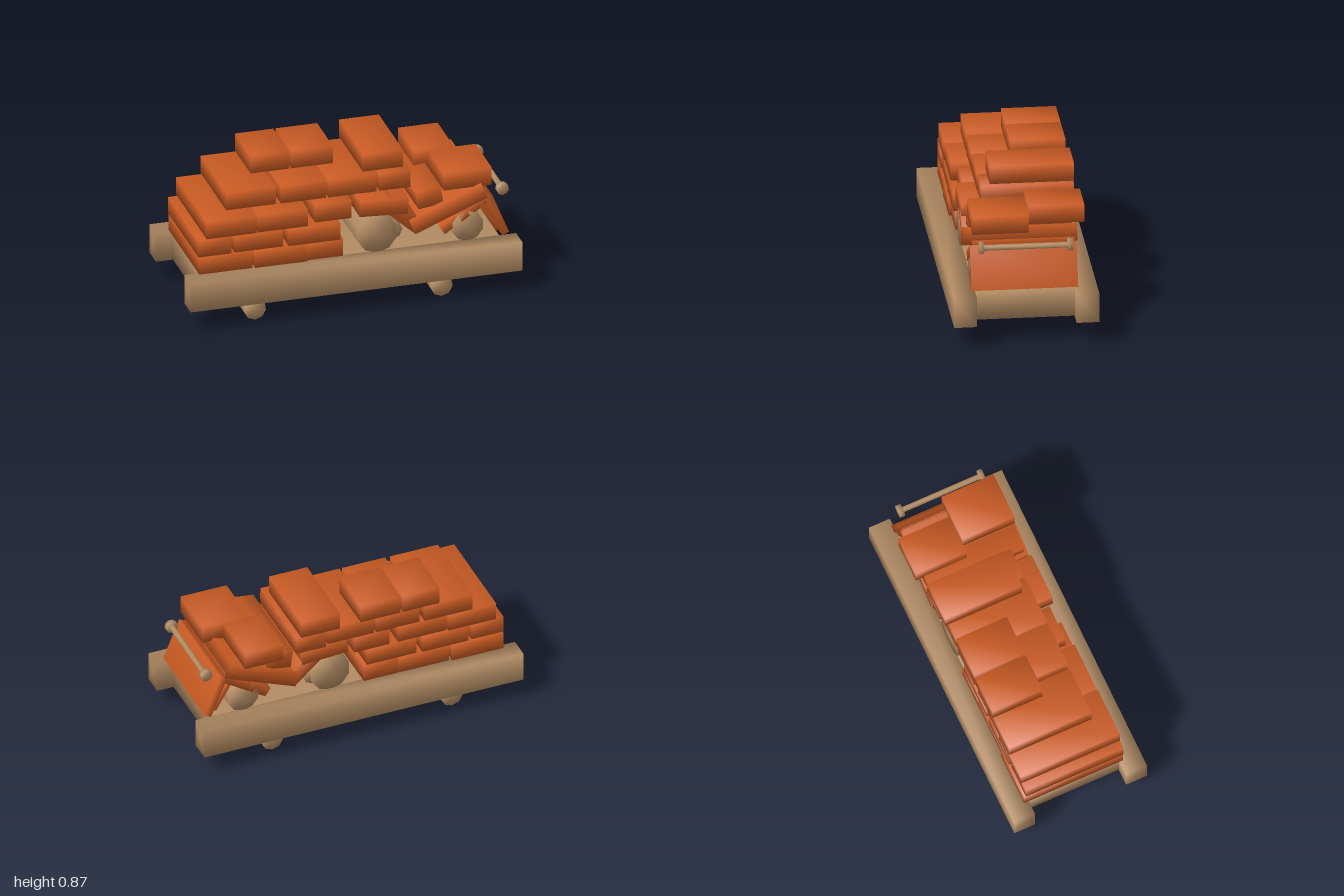
import * as THREE from 'three';
import { mergeVertices } from 'three/addons/utils/BufferGeometryUtils.js';

const brick = new THREE.MeshStandardMaterial({ color: 0xc85a22 });
brick.name = 'brickOrange';
const wood = new THREE.MeshStandardMaterial({ color: 0xb08a62 });
wood.name = 'paleWood';

// Weld the corners so that shading runs softly over the edges
function soften(geo) {
  geo.deleteAttribute('normal');
  geo.deleteAttribute('uv');
  const g = mergeVertices(geo, 1e-4);
  g.computeVertexNormals();
  return g;
}

export function createModel() {
  const model = new THREE.Group();
  model.name = 'brickCart';

  function add(name, geo, mat, x, y, z) {
    const m = new THREE.Mesh(soften(geo), mat);
    m.name = name;
    m.position.set(x, y, z);
    model.add(m);
    return m;
  }
  // Block from its limits on each axis
  function block(name, mat, x0, x1, y0, y1, z0, z1) {
    return add(name, new THREE.BoxGeometry(x1 - x0, y1 - y0, z1 - z0), mat,
      (x0 + x1) / 2, (y0 + y1) / 2, (z0 + z1) / 2);
  }
  // Round piece lying along z
  function log(name, x, y, r, z0, z1, sides) {
    const g = new THREE.CylinderGeometry(r, r, z1 - z0, sides);
    g.rotateX(Math.PI / 2);
    return add(name, g, wood, x, y, (z0 + z1) / 2);
  }
  // Slab spanning the width, tilted in the xy plane
  function slab(name, x, y, length, thick, degrees, z0 = -0.31, z1 = 0.31) {
    const m = add(name, new THREE.BoxGeometry(length, thick, z1 - z0), brick, x, y, (z0 + z1) / 2);
    m.rotation.z = THREE.MathUtils.degToRad(degrees);
    return m;
  }

  // Base: deck, two square side beams, four rollers
  block('deck', wood, -0.9, 0.9, 0.14, 0.31, -0.29, 0.29);
  for (const [name, z] of [['leftBeam', -0.356], ['rightBeam', 0.356]]) {
    const g = new THREE.CylinderGeometry(Math.SQRT1_2, Math.SQRT1_2, 2, 4);
    g.rotateY(Math.PI / 4);
    g.rotateZ(Math.PI / 2);
    g.scale(1, 0.18, 0.132);
    add(name, g, wood, 0, 0.225, z);
  }
  for (const x of [-0.59, 0.535]) {
    log('frontRoller', x, 0.068, 0.067, 0.245, 0.348, 9);
    log('backRoller', x, 0.068, 0.067, -0.328, -0.225, 9);
  }

  // Stacked courses: [x0, x1, z0, z1] for each brick
  const courses = [
    [0.315, 0.425, [[-0.915, -0.595, -0.32, 0.31], [-0.58, -0.265, -0.31, 0.315], [-0.26, -0.045, -0.31, 0.3]]],
    [0.425, 0.53, [[-0.92, -0.72, -0.31, 0.31], [-0.7, -0.41, -0.315, 0.305], [-0.375, -0.065, -0.31, 0.31]]],
    [0.535, 0.645, [[-0.87, -0.57, -0.32, 0.31], [-0.56, -0.26, -0.31, 0.305], [-0.205, 0.015, -0.31, 0.27]]],
    [0.65, 0.76, [[-0.72, -0.42, -0.325, 0.198], [-0.39, -0.12, -0.32, 0.2], [-0.105, 0.185, -0.32, 0.2],
      [0.205, 0.39, -0.34, 0.198], [0.56, 0.85, -0.03, 0.3], [0.48, 0.72, -0.365, -0.04]]],
    [0.76, 0.87, [[-0.51, -0.28, -0.335, -0.015], [-0.265, -0.015, -0.335, -0.015], [0.12, 0.36, -0.345, 0.145]]],
  ];
  for (const [y0, y1, row] of courses)
    for (const [x0, x1, z0, z1] of row) block('brick', brick, x0, x1, y0, y1, z0, z1);

  // Cross logs under the fallen slabs
  log('largeLog', 0.16, 0.43, 0.123, -0.3, 0.3, 10);
  log('smallLog', 0.26, 0.425, 0.06, -0.28, 0.27, 8);
  log('endLog', 0.705, 0.405, 0.096, -0.3, 0.3, 10);

  // Fallen slabs
  slab('shelfSlab', 0.2, 0.595, 0.29, 0.1, -3);
  slab('fallingSlab', 0.31, 0.53, 0.26, 0.09, -42);
  slab('risingSlab', 0.585, 0.535, 0.47, 0.1, 22, -0.315, 0.315);
  slab('wedgeSlab', 0.48, 0.61, 0.15, 0.11, 8, -0.31, 0.29);
  slab('underSlab', 0.69, 0.485, 0.33, 0.06, 33, -0.3, 0.3);
  slab('endSlab', 0.88, 0.455, 0.265, 0.045, -68, -0.305, 0.315);
  slab('innerEndSlab', 0.84, 0.445, 0.2, 0.035, -60, -0.295, 0.3);

  // End bar with round knobs
  log('bar', 0.925, 0.596, 0.017, -0.255, 0.255, 8);
  log('barKnob', 0.925, 0.598, 0.038, 0.243, 0.27, 9);
  log('barKnob', 0.925, 0.598, 0.038, -0.275, -0.245, 9);

  return model;
}
